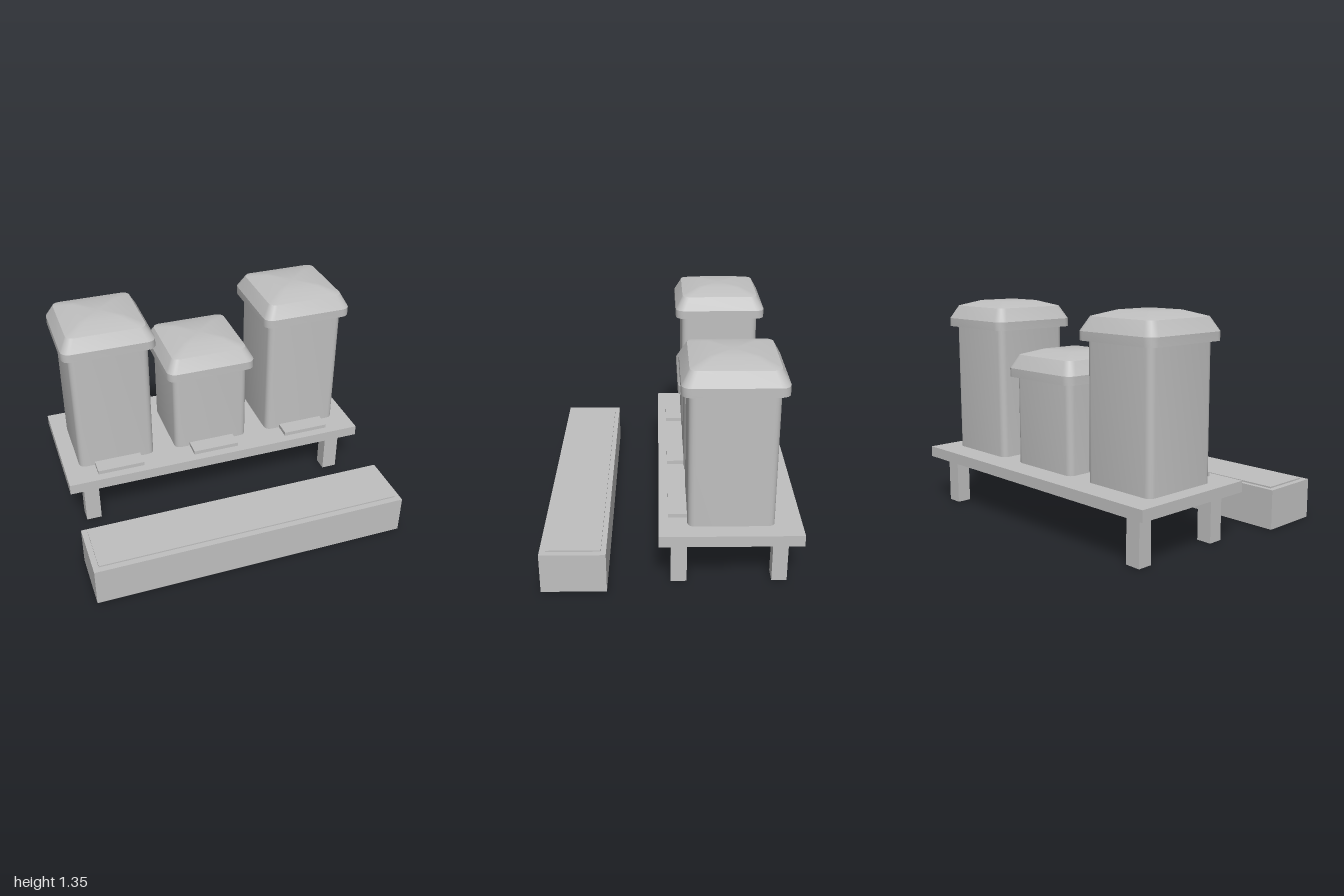
import * as THREE from 'three';
import { toCreasedNormals } from 'three/addons/utils/BufferGeometryUtils.js';

const grey = new THREE.MeshStandardMaterial({ color: 0xc0c0c0 });
grey.name = 'light grey';

// Box given by its min and max along each axis
function box(name, [x0, x1], [y0, y1], [z0, z1]) {
  const mesh = new THREE.Mesh(new THREE.BoxGeometry(x1 - x0, y1 - y0, z1 - z0), grey);
  mesh.position.set((x0 + x1) / 2, (y0 + y1) / 2, (z0 + z1) / 2);
  mesh.name = name;
  return mesh;
}

// Rounded-square cross-sections [half width, corner radius, y], lofted from bottom to top and capped
function loft(name, sections) {
  const steps = 4, n = 4 * (steps + 1);
  const positions = [], index = [];
  for (const [half, radius, y] of sections) {
    for (let corner = 0; corner < 4; corner++) {
      const mid = (corner + 0.5) * Math.PI / 2;
      const cx = Math.sign(Math.cos(mid)) * (half - radius);
      const cz = Math.sign(Math.sin(mid)) * (half - radius);
      for (let s = 0; s <= steps; s++) {
        const a = (corner + s / steps) * Math.PI / 2;
        positions.push(cx + radius * Math.cos(a), y, cz + radius * Math.sin(a));
      }
    }
  }
  const last = sections.length - 1;
  const bottom = positions.length / 3, top = bottom + 1;
  positions.push(0, sections[0][2], 0, 0, sections[last][2], 0);
  for (let i = 0; i < n; i++) {
    const j = (i + 1) % n;
    for (let r = 0; r < last; r++) {
      const a = r * n, b = a + n;
      index.push(a + i, b + i, b + j, a + i, b + j, a + j);
    }
    index.push(bottom, i, j, top, last * n + j, last * n + i);
  }
  const geometry = new THREE.BufferGeometry();
  geometry.setAttribute('position', new THREE.Float32BufferAttribute(positions, 3));
  geometry.setIndex(index);
  const mesh = new THREE.Mesh(toCreasedNormals(geometry, THREE.MathUtils.degToRad(25)), grey);
  mesh.name = name;
  return mesh;
}

// Pedal bin: rounded body, overhanging domed lid and a foot pedal, standing on y = 0
function bin(name, height) {
  const group = new THREE.Group();
  group.name = name;
  const rim = height - 0.17;
  group.add(
    loft('binBody', [[0.25, 0.04, 0], [0.25, 0.04, rim + 0.02]]),
    loft('binLid', [
      [0.292, 0.055, rim],
      [0.292, 0.055, rim + 0.053],
      [0.247, 0.045, rim + 0.135],
      [0.135, 0.025, height],
    ]),
    box('pedal', [-0.152, 0.152], [0, 0.025], [0.2, 0.358]),
  );
  return group;
}

export function createModel() {
  const model = new THREE.Group();
  model.name = 'binStand';

  // Low block in front with a thin raised panel
  model.add(box('frontBlock', [-1, 1], [0, 0.248], [0.37, 0.75]));
  model.add(box('blockPanel', [-0.965, 0.965], [0.248, 0.257], [0.4, 0.713]));

  // Platform on four legs
  model.add(box('platform', [-1, 1], [0.297, 0.365], [-0.75, 0.072]));
  for (const x of [[-0.905, -0.807], [0.807, 0.905]]) {
    for (const z of [[-0.09, 0.003], [-0.675, -0.585]]) model.add(box('leg', x, [0, 0.297], z));
  }

  // Three bins in a row, the middle one shorter
  for (const [name, x, height] of [['rightBin', -0.65, 0.985], ['middleBin', -0.003, 0.715], ['leftBin', 0.645, 0.985]]) {
    const b = bin(name, height);
    b.position.set(x, 0.365, -0.342);
    model.add(b);
  }
  return model;
}
